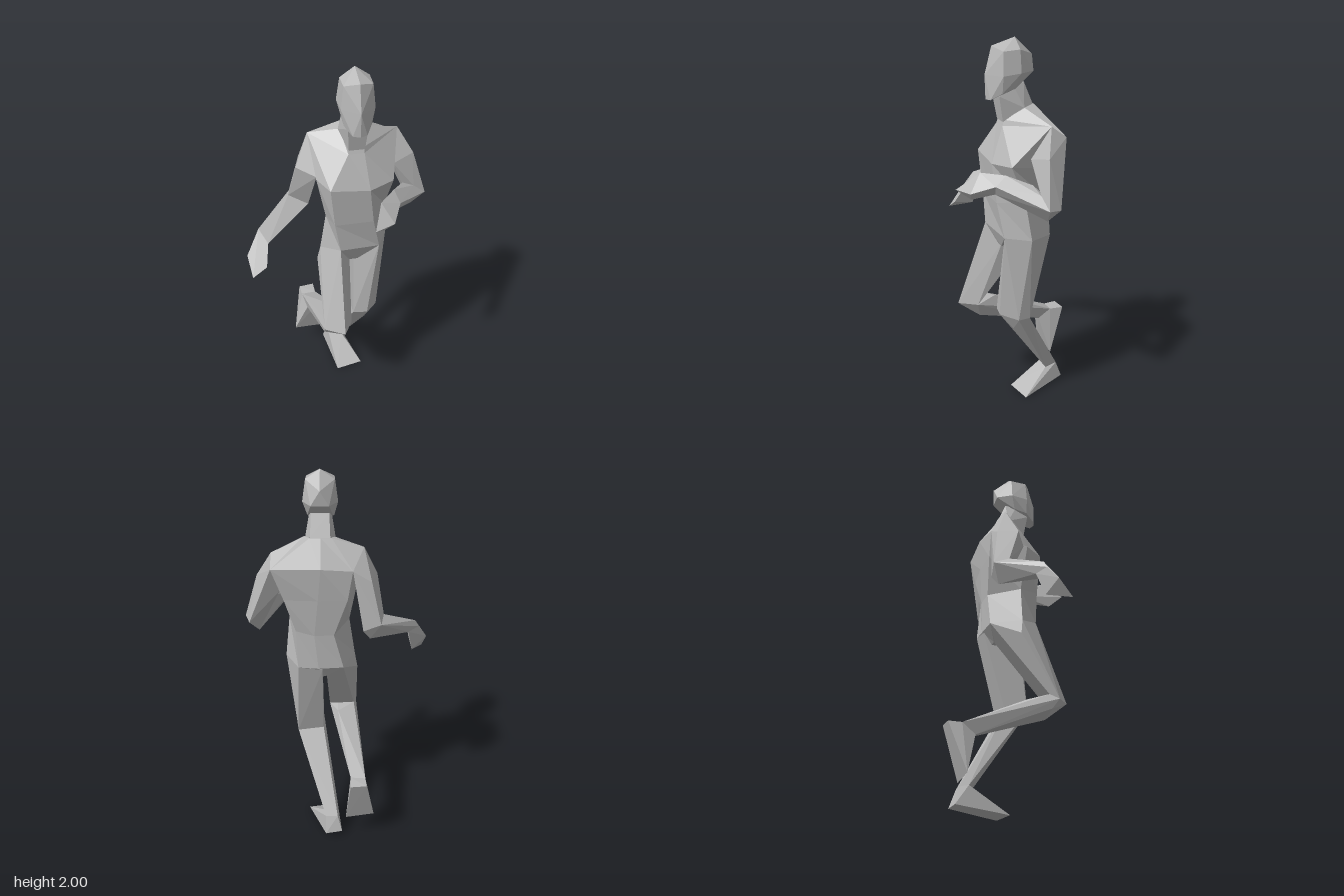
import * as THREE from 'three';
import { ConvexGeometry } from 'three/addons/geometries/ConvexGeometry.js';

const V = (p) => new THREE.Vector3(...p);

// Closed faceted loft through rings of equal point count
function loft(rings) {
  const n = rings[0].length;
  const tris = [];
  for (let i = 0; i < rings.length - 1; i++) {
    for (let j = 0; j < n; j++) {
      const k = (j + 1) % n;
      const a = rings[i][j], b = rings[i][k], c = rings[i + 1][k], d = rings[i + 1][j];
      tris.push([a, b, c], [a, c, d]);
    }
  }
  const first = rings[0], last = rings[rings.length - 1];
  for (let j = 1; j < n - 1; j++) {
    tris.push([first[0], first[j + 1], first[j]], [last[0], last[j], last[j + 1]]);
  }
  // Turn every face outward if the rings run the other way
  let volume = 0;
  for (const [a, b, c] of tris) volume += V(a).dot(V(b).cross(V(c)));
  if (volume < 0) tris.forEach((t) => t.reverse());
  const g = new THREE.BufferGeometry();
  g.setAttribute('position', new THREE.Float32BufferAttribute(tris.flat(2), 3));
  g.computeVertexNormals();
  return g;
}

export function createModel() {
  const group = new THREE.Group();
  const clay = new THREE.MeshStandardMaterial({ color: 0xb8b8b8 });
  clay.name = 'grey clay';
  clay.flatShading = true;

  const add = (name, geometry) => {
    const mesh = new THREE.Mesh(geometry, clay);
    mesh.name = name;
    group.add(mesh);
  };
  // Faceted limb segment spanning two or more joint sections
  const segment = (name, ...sections) => add(name, new ConvexGeometry(sections.flat().map(V)));

  // Head, symmetric about its own middle plane
  const cx = 0.087;
  const pair = (dx, y, z) => [[cx - dx, y, z], [cx + dx, y, z]];
  segment('head',
    [[cx, 2, 0.02], [cx, 1.965, 0.14], [cx, 1.83, 0.176], [cx, 1.915, -0.07], [cx, 1.71, 0.172]],
    pair(0.072, 1.95, 0.02), pair(0.07, 1.945, 0.105),
    pair(0.088, 1.84, 0.02), pair(0.082, 1.83, 0.11),
    pair(0.035, 1.712, 0.16), pair(0.068, 1.745, 0.11), pair(0.064, 1.765, 0.04),
    pair(0.045, 1.84, -0.06), pair(0.04, 1.79, 0));

  // Neck
  segment('neck',
    pair(0.055, 1.78, 0.05), pair(0.045, 1.79, -0.01), pair(0.05, 1.73, 0.12),
    pair(0.075, 1.67, 0), pair(0.04, 1.6, 0.098), pair(0.05, 1.68, -0.055));

  // Torso: right, front right, front left, left, back left, back middle, back right
  add('torso', loft([
    [[0.02, 1.67, 0], [0.045, 1.61, 0.09], [0.125, 1.61, 0.09], [0.17, 1.67, 0], [0.14, 1.68, -0.06], [0.085, 1.68, -0.06], [0.03, 1.68, -0.06]],
    [[-0.13, 1.635, -0.055], [0.045, 1.58, 0.1], [0.125, 1.58, 0.1], [0.33, 1.61, -0.07], [0.33, 1.55, -0.15], [0.085, 1.55, -0.15], [-0.075, 1.53, -0.12]],
    [[-0.11, 1.44, 0.075], [-0.055, 1.42, 0.165], [0.145, 1.4, 0.165], [0.275, 1.41, 0.11], [0.27, 1.38, -0.13], [0.1, 1.38, -0.14], [-0.05, 1.38, -0.125]],
    [[-0.06, 1.2, 0.05], [-0.03, 1.2, 0.15], [0.17, 1.2, 0.15], [0.255, 1.22, 0.03], [0.215, 1.2, -0.11], [0.12, 1.18, -0.125], [0.02, 1.18, -0.115]],
    [[-0.09, 1, 0.05], [0, 1.035, 0.15], [0.21, 1.02, 0.125], [0.275, 1.01, 0], [0.205, 1, -0.13], [0.1, 0.99, -0.125], [-0.03, 0.99, -0.11]],
    [[0, 0.92, 0.05], [0.06, 0.93, 0.1], [0.1, 0.93, 0.1], [0.2, 0.93, 0], [0.18, 0.92, -0.08], [0.12, 0.91, -0.08], [0.05, 0.92, -0.07]],
  ]));

  // Left arm, bent across the body
  const leftElbow = [[0.48, 1.24, 0], [0.455, 1.23, -0.07], [0.41, 1.165, -0.02], [0.41, 1.3, 0.015]];
  const leftWrist = [[0.27, 1.375, 0.14], [0.29, 1.33, 0.2], [0.255, 1.28, 0.19], [0.25, 1.32, 0.14]];
  segment('leftUpperArm',
    [[0.33, 1.61, -0.07], [0.41, 1.475, -0.025], [0.295, 1.45, 0.02], [0.33, 1.55, -0.15], [0.29, 1.42, -0.1]], leftElbow);
  segment('leftForearm', leftElbow, [[0.345, 1.335, 0.03]], leftWrist);
  segment('leftHand', leftWrist,
    [[0.18, 1.375, 0.24], [0.13, 1.285, 0.35], [0.19, 1.245, 0.29], [0.235, 1.29, 0.31]]);

  // Right arm, swung out and back
  const rightElbow = [[-0.235, 1.275, -0.06], [-0.22, 1.25, -0.14], [-0.13, 1.21, -0.13], [-0.165, 1.155, -0.1], [-0.135, 1.22, -0.04]];
  const rightWrist = [[-0.41, 1.18, 0.07], [-0.43, 1.14, 0.08], [-0.37, 1.12, 0.125], [-0.375, 1.125, 0.04]];
  segment('rightUpperArm',
    [[-0.13, 1.635, -0.055], [-0.2, 1.475, 0], [-0.105, 1.44, 0.055], [-0.075, 1.53, -0.12], [-0.17, 1.47, -0.11]], rightElbow);
  segment('rightForearm', rightElbow, rightWrist);
  segment('rightHand', rightWrist,
    [[-0.48, 1.06, 0.125], [-0.465, 0.97, 0.2], [-0.39, 1.02, 0.19], [-0.4, 1, 0.08]]);

  // Left leg, standing
  const leftKnee = [[0.225, 0.54, 0.05], [0.155, 0.56, 0.132], [0.08, 0.56, 0.12], [0.08, 0.55, 0], [0.22, 0.54, -0.015]];
  const leftKneeLow = [[0.09, 0.47, 0.06], [0.16, 0.46, 0.055]];
  const leftAnkle = [[-0.005, 0.13, -0.2], [0.075, 0.11, -0.18], [0.065, 0.12, -0.25], [0, 0.12, -0.25]];
  segment('leftThigh',
    [[0.21, 1.02, 0.125], [0.275, 1.01, 0], [0.205, 1, -0.13], [0.08, 0.98, -0.12], [0.085, 0.92, 0.08]], leftKnee);
  segment('leftShin', leftKnee, leftKneeLow, leftAnkle);
  segment('leftFoot', leftAnkle,
    [[-0.025, 0.03, -0.27], [0.065, 0.025, -0.285], [0.015, 0, 0.01], [0.165, 0, -0.02]]);

  // Right leg, lifted behind
  const rightKnee = [[-0.105, 0.575, 0.24], [-0.005, 0.585, 0.31], [0.048, 0.58, 0.215], [0, 0.6, 0.18], [-0.09, 0.6, 0.19]];
  const rightKneeLow = [[-0.1, 0.52, 0.2], [0, 0.49, 0.19], [0, 0.595, 0.1]];
  const rightAnkle = [[-0.15, 0.395, -0.27], [-0.07, 0.4, -0.27], [-0.075, 0.35, -0.2], [-0.13, 0.345, -0.2]];
  segment('rightThigh',
    [[-0.105, 0.92, 0.04], [-0.09, 1, 0.05], [0, 1.035, 0.15], [0.062, 0.93, 0.08], [0.06, 0.95, -0.09], [-0.03, 0.99, -0.11]], rightKnee);
  segment('rightShin', rightKnee, rightKneeLow, rightAnkle);
  segment('rightFoot', rightAnkle,
    [[-0.155, 0.395, -0.34], [-0.07, 0.395, -0.35], [-0.2, 0.14, -0.25], [-0.045, 0.125, -0.265]]);

  return group;
}
